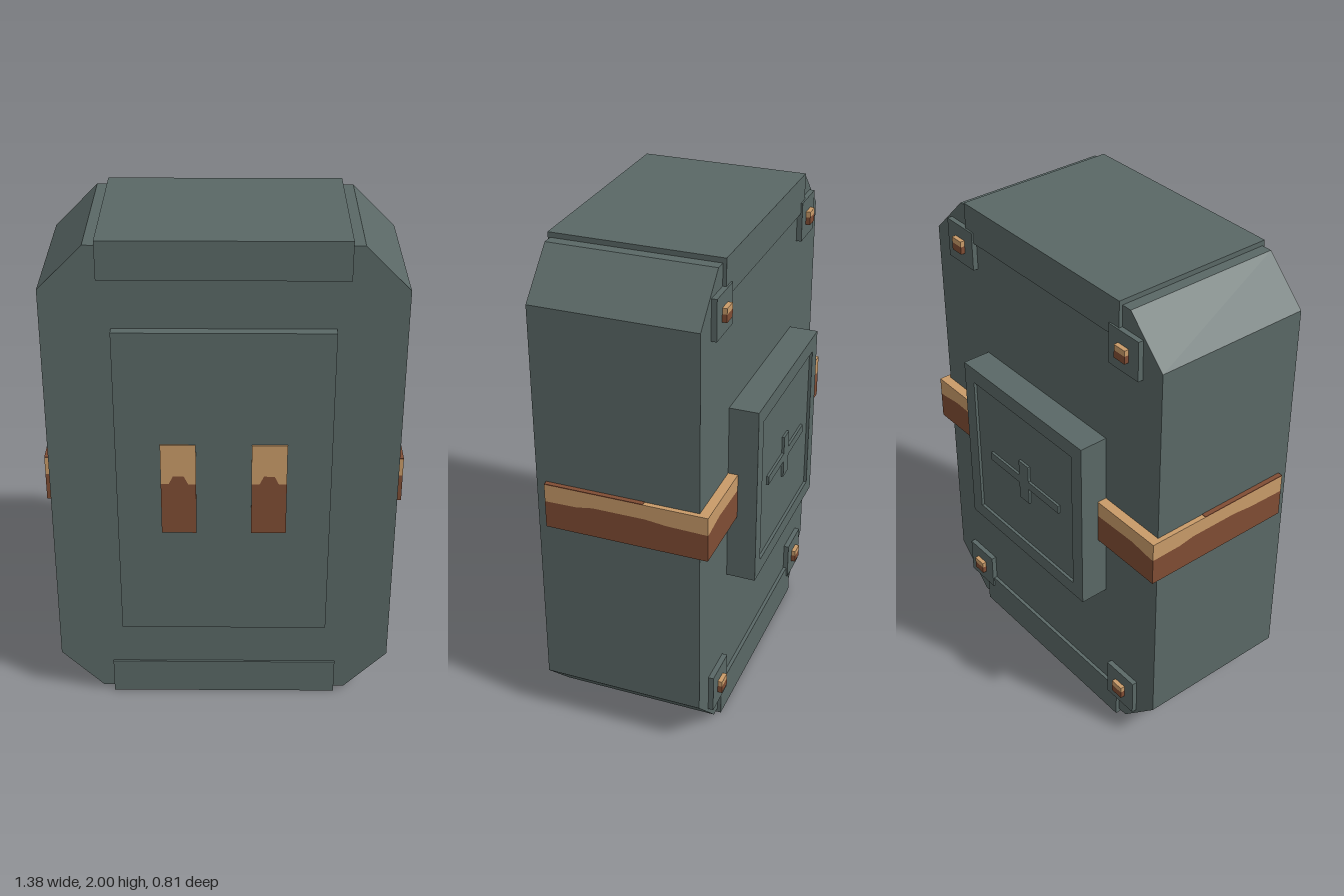
import * as THREE from 'three';

export function createModel() {
  const model = new THREE.Group();
  model.name = 'armouredPack';

  const shell = new THREE.MeshStandardMaterial({ color: 0x5a6866 });
  shell.name = 'greyShell';
  const copper = new THREE.MeshStandardMaterial({ color: 0xc99b69 });
  copper.name = 'lightCopper';
  const bronze = new THREE.MeshStandardMaterial({ color: 0x804d34 });
  bronze.name = 'darkBronze';

  const add = (parent, name, geometry, material) => {
    const mesh = new THREE.Mesh(geometry, material);
    mesh.name = name;
    parent.add(mesh);
    return mesh;
  };

  // Box given by its lower and upper corners
  const block = (name, a, b, material = shell, parent = model) => {
    const mesh = add(parent, name, new THREE.BoxGeometry(b[0] - a[0], b[1] - a[1], b[2] - a[2]), material);
    mesh.position.set((a[0] + b[0]) / 2, (a[1] + b[1]) / 2, (a[2] + b[2]) / 2);
    return mesh;
  };

  const polygon = (points) => new THREE.Shape(points.map(([x, y]) => new THREE.Vector2(x, y)));
  const extrude = (shape, depth) => new THREE.ExtrudeGeometry(shape, { depth, bevelEnabled: false });

  // Bar with a light upper half and a dark lower half; the seam runs from left to right
  const twoTone = (name, width, y0, y1, depth, seam) => {
    const group = new THREE.Group();
    group.name = name;
    const w = width / 2;
    const line = seam.map(([t, y]) => [t * w, y]);
    add(group, name + 'Lower', extrude(polygon([[-w, y0], [w, y0], ...[...line].reverse()]), depth), bronze);
    add(group, name + 'Upper', extrude(polygon([...line, [w, y1], [-w, y1]]), depth), copper);
    model.add(group);
    return group;
  };

  // Main body: a slab with four cut corners
  const outline = [
    [-0.5, 0.02], [0.5, 0.02], [0.67, 0.19], [0.67, 1.81],
    [0.5, 1.98], [-0.5, 1.98], [-0.67, 1.81], [-0.67, 0.19],
  ];
  add(model, 'body', extrude(polygon(outline), 0.65), shell).position.z = -0.29;

  // Raised front panel
  block('frontPanel', [-0.41, 0.35, 0.34], [0.41, 1.66, 0.4]);

  // Caps wrapped over the top and bottom ends
  block('topCap', [-0.457, 1.85, -0.304], [0.457, 2, 0.369]);
  block('bottomCap', [-0.457, 0, -0.304], [0.457, 0.15, 0.369]);

  // Front inlays
  const arch = [[-1, 1.03], [-0.55, 1.03], [-0.3, 1.065], [0.3, 1.065], [0.55, 1.03], [1, 1.03]];
  for (const side of [-1, 1]) {
    twoTone('frontInlay', 0.135, 0.81, 1.2, 0.016, arch).position.set(side * 0.173, 0, 0.39);
  }

  // Back corner tabs with studs
  for (const side of [-1, 1]) {
    for (const end of [-1, 1]) {
      const x = side * 0.488;
      const y = 1 + end * 0.815;
      block('cornerTab', [x - 0.08, y - 0.08, -0.311], [x + 0.08, y + 0.08, -0.28]);
      twoTone('stud', 0.057, y - 0.027, y + 0.027, 0.03, [[-1, y + 0.004], [1, y + 0.004]])
        .position.set(x, 0, -0.329);
    }
  }

  // Belt: a bar across the back and one along each side
  const wave = [[-1, 1.022], [-0.6, 1.024], [-0.4, 1.035], [0.25, 1.035], [0.5, 1.026], [1, 1.022]];
  const backWave = [[-1, 1.022], [-0.85, 1.035], [-0.6, 1.03], [0.6, 1.03], [0.85, 1.035], [1, 1.022]];
  twoTone('backBelt', 1.34, 0.91, 1.096, 0.05, backWave).position.z = -0.329;
  for (const side of [-1, 1]) {
    const bar = twoTone('sideBelt', 0.65, 0.91, 1.096, 0.03, wave);
    bar.rotation.y = side * Math.PI / 2;
    bar.position.set(side * 0.66, 0, -0.004);
    // Dark front stretch of the belt's upper edge
    const x = side * 0.675;
    block('beltTopEdge', [x - 0.015, 1.094, -0.075], [x + 0.015, 1.098, 0.321], bronze);
  }

  // Back box: a frame around a shallow recess
  const rim = polygon([[-0.37, 0.63], [0.37, 0.63], [0.37, 1.375], [-0.37, 1.375]]);
  rim.holes.push(polygon([[-0.31, 0.69], [-0.31, 1.31], [0.31, 1.31], [0.31, 0.69]]));
  add(model, 'backBoxRim', extrude(rim, 0.116), shell).position.z = -0.406;
  block('backBoxFloor', [-0.32, 0.68, -0.394], [0.32, 1.32, -0.28]);

  // Raised cross inside the recess
  block('crossBar', [-0.22, 0.982, -0.404], [0.22, 1.018, -0.39]);
  block('crossPost', [-0.03, 0.91, -0.404], [0.03, 1.09, -0.39]);

  return model;
}
